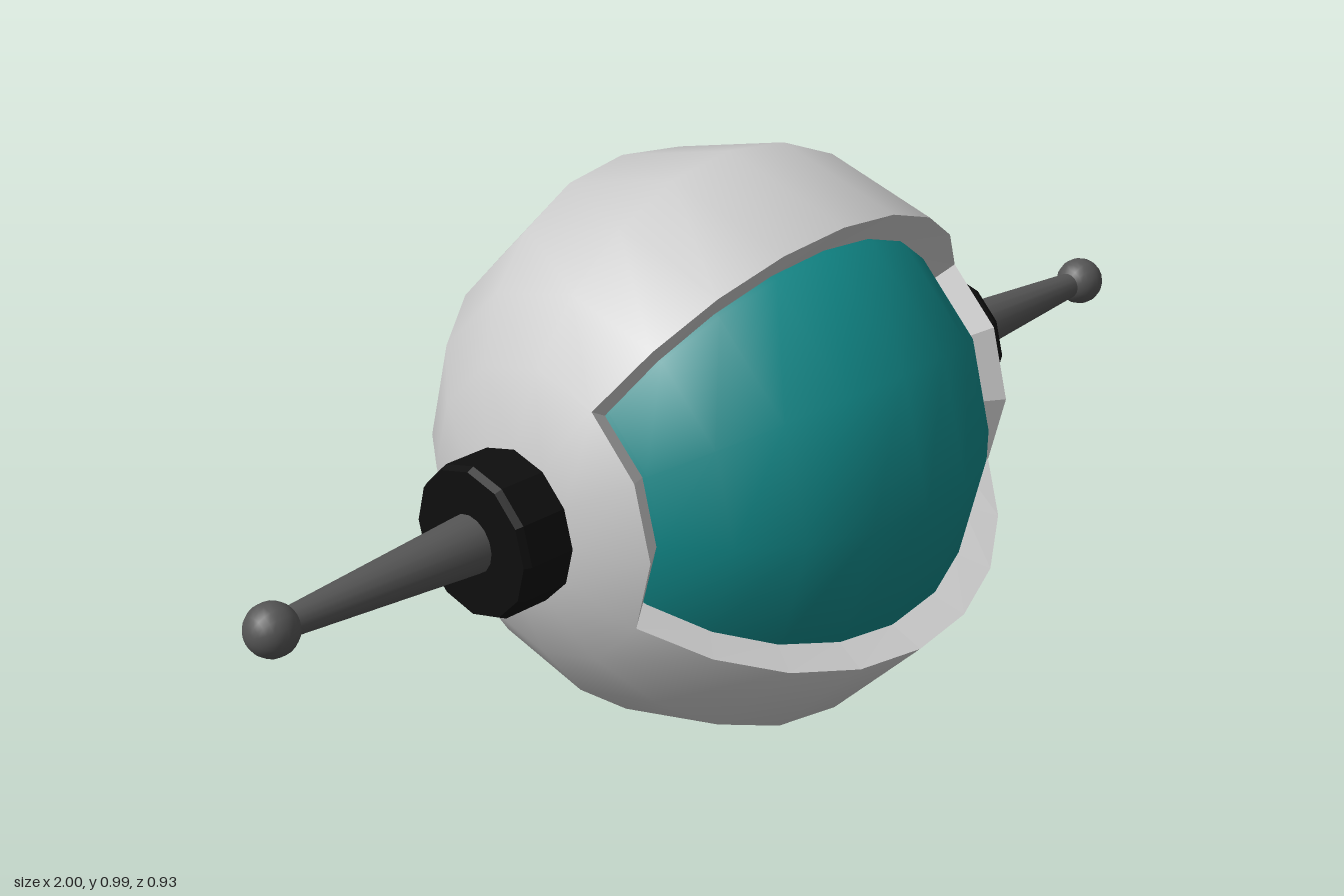
import * as THREE from 'three';

const rad = THREE.MathUtils.degToRad;
const R = 0.495;       // outer shell radius
const R_VISOR = 0.435; // visor radius

// Sphere patch with its poles on the x axis; phi 0 is up, 90 is front (degrees)
function spherePatch(r, segs, rings, phi0, phiLen, theta0, thetaLen) {
  const g = new THREE.SphereGeometry(r, segs, rings, rad(phi0), rad(phiLen), rad(theta0), rad(thetaLen));
  return g.rotateZ(-Math.PI / 2);
}

function spherePoint(r, phi, theta) {
  const s = r * Math.sin(rad(theta));
  return [r * Math.cos(rad(theta)), s * Math.cos(rad(phi)), s * Math.sin(rad(phi))];
}

// Closed loop around the face opening, following the shell's grid lines
function openingLoop(r, p0, p1, t0, t1) {
  const pts = [];
  const add = (u, v) => pts.push(spherePoint(r, p0 + (p1 - p0) * u, t0 + (t1 - t0) * v));
  for (let i = 0; i < 8; i++) add(0, i / 8);
  for (let i = 0; i < 3; i++) add(i / 3, 1);
  for (let i = 0; i < 8; i++) add(1, 1 - i / 8);
  for (let i = 0; i < 3; i++) add(1 - i / 3, 0);
  return pts;
}

// Flat-faced band joining two loops
function bandGeometry(a, b) {
  const pos = [];
  a.forEach((p, i) => {
    const j = (i + 1) % a.length;
    pos.push(...p, ...a[j], ...b[j], ...p, ...b[j], ...b[i]);
  });
  const g = new THREE.BufferGeometry();
  g.setAttribute('position', new THREE.Float32BufferAttribute(pos, 3));
  g.computeVertexNormals();
  return g;
}

export function createModel() {
  const model = new THREE.Group();
  model.name = 'helmet';
  const shellMat = new THREE.MeshStandardMaterial({ color: 0xcccccc, side: THREE.DoubleSide });
  const visorMat = new THREE.MeshStandardMaterial({ color: 0x118888 });
  const earMat = new THREE.MeshStandardMaterial({ color: 0x0e0e0e, flatShading: true });
  const antennaMat = new THREE.MeshStandardMaterial({ color: 0x555555 });

  const add = (parent, name, geometry, material) => {
    const mesh = new THREE.Mesh(geometry, material);
    mesh.name = name;
    parent.add(mesh);
    return mesh;
  };

  // Shell: a belt with a gap at the face, plus a cap on either side
  const shell = new THREE.Group();
  shell.name = 'shell';
  add(shell, 'shellBelt', spherePatch(R, 9, 8, 120, 270, 30, 120), shellMat);
  add(shell, 'leftCap', spherePatch(R, 12, 2, 0, 360, 0, 30), shellMat);
  add(shell, 'rightCap', spherePatch(R, 12, 2, 0, 360, 150, 30), shellMat);
  model.add(shell);

  // Thick edge of the face opening
  add(model, 'openingRim', bandGeometry(
    openingLoop(R, 30, 120, 30, 150),
    openingLoop(R_VISOR - 0.004, 28.5, 121.5, 29, 151)), shellMat);

  // Visor inside the shell
  add(model, 'visor', spherePatch(R_VISOR, 12, 12, 0, 360, 0, 180), visorMat);

  // Ear pieces with antennas
  for (const [side, sign] of [['left', 1], ['right', -1]]) {
    const ear = new THREE.Group();
    ear.name = side + 'Ear';
    const profile = [[0, 0.44], [0.128, 0.44], [0.128, 0.562], [0.122, 0.574], [0, 0.574]]
      .map(([r, h]) => new THREE.Vector2(r, h));
    add(ear, side + 'EarPad', new THREE.LatheGeometry(profile, 12), earMat);
    const rod = add(ear, side + 'AntennaRod', new THREE.CylinderGeometry(0.022, 0.05, 0.38, 16), antennaMat);
    rod.position.y = 0.75;
    const tip = add(ear, side + 'AntennaTip', new THREE.SphereGeometry(0.043, 16, 12), antennaMat);
    tip.position.y = 0.957;
    ear.rotation.z = -sign * Math.PI / 2;
    model.add(ear);
  }

  model.position.set(0, 0.497, 0.03);
  const root = new THREE.Group();
  root.add(model);
  return root;
}
